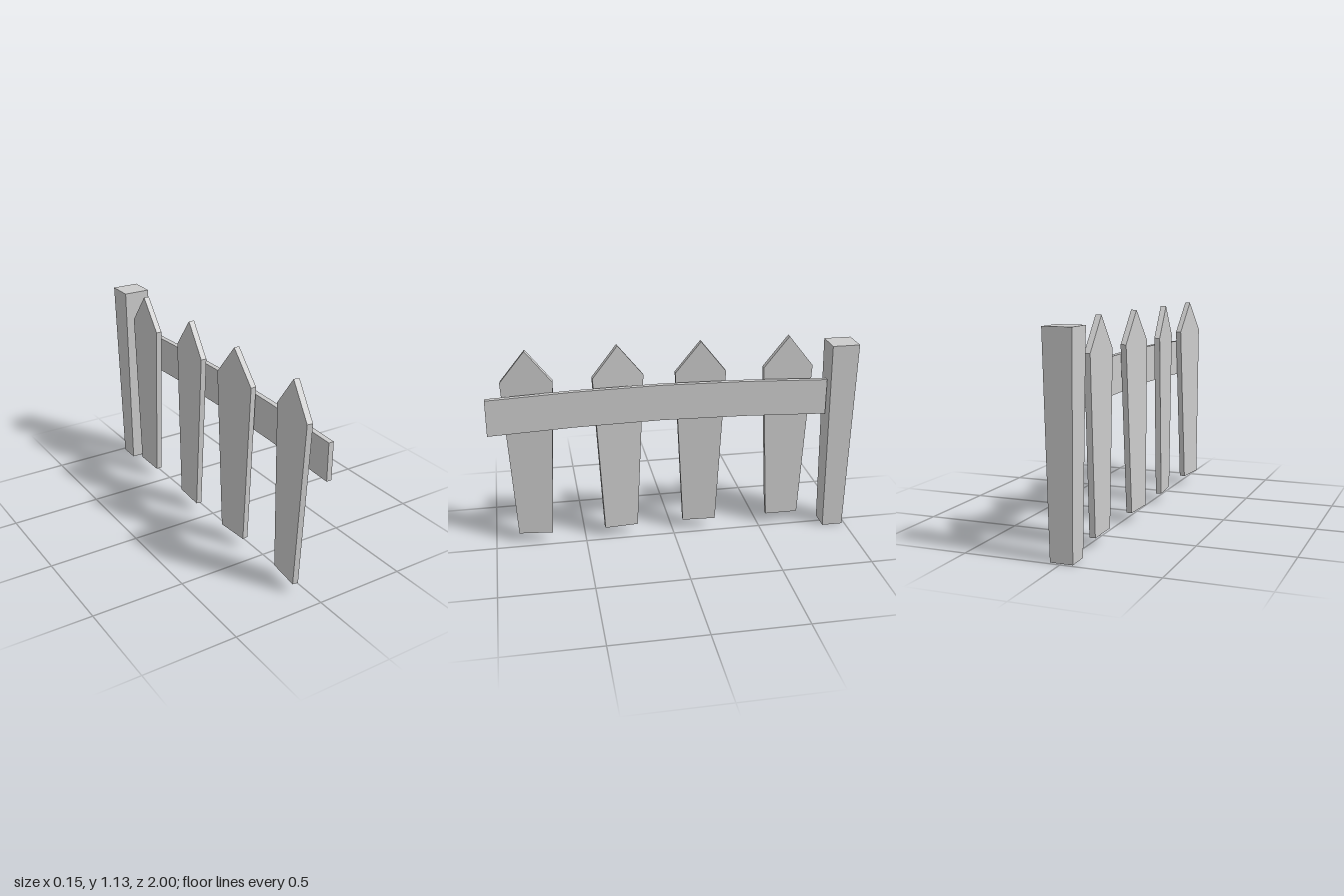
import * as THREE from 'three';

const grey = new THREE.MeshStandardMaterial({ color: 0xcccccc, flatShading: true });
const greyOpen = new THREE.MeshStandardMaterial({ color: 0xcccccc, flatShading: true, side: THREE.DoubleSide });

// Board from an outline of [-z, y] points, with its thickness along x
function board(name, points, thickness) {
  const shape = new THREE.Shape(points.map(([x, y]) => new THREE.Vector2(x, y)));
  const geometry = new THREE.ExtrudeGeometry(shape, { depth: thickness, bevelEnabled: false });
  geometry.translate(0, 0, -thickness / 2).rotateY(Math.PI / 2);
  const mesh = new THREE.Mesh(geometry, grey);
  mesh.name = name;
  return mesh;
}

// Square post, wider at the top, open underneath
function createPost() {
  const height = 1.093;
  const box = new THREE.BoxGeometry(0.15, height, 0.15);
  box.translate(0, height / 2, 0);
  const index = Array.from(box.index.array);
  index.splice(18, 6); // bottom face
  box.setIndex(index);
  box.clearGroups();
  const p = box.attributes.position;
  for (let i = 0; i < p.count; i++) {
    const s = THREE.MathUtils.lerp(0.775, 1, p.getY(i) / height);
    p.setX(i, p.getX(i) * s);
    p.setZ(i, p.getZ(i) * s);
  }
  box.computeVertexNormals();
  const mesh = new THREE.Mesh(box, greyOpen);
  mesh.name = 'post';
  mesh.position.z = -0.925;
  return mesh;
}

// Long rail, bowed slightly upward
function createRail() {
  const arch = [[-1, 0.885], [-0.54, 0.904], [-0.075, 0.912], [0.39, 0.904], [0.85, 0.885]];
  const lower = arch.map(([x, y]) => [x, y - 0.2]);
  const rail = board('rail', [...lower, ...arch.reverse()], 0.028);
  rail.position.x = 0.004;
  return rail;
}

export function createModel() {
  const model = new THREE.Group();
  model.name = 'fence';
  model.add(createPost(), createRail());

  // Pointed pickets, each set a little crooked
  const outline = [[-0.093, 0], [0.093, 0], [0.138, 0.898], [0, 1.07], [-0.138, 0.898]];
  const pickets = [
    { z: 0.777, x: -0.052, yaw: -0.11, lean: -0.013 },
    { z: 0.297, x: -0.048, yaw: 0.08, lean: 0 },
    { z: -0.152, x: -0.053, yaw: -0.05, lean: -0.012 },
    { z: -0.64, x: -0.048, yaw: 0, lean: 0 },
  ];
  pickets.forEach(({ z, x, yaw, lean }, i) => {
    const picket = board(`picket${i + 1}`, outline, 0.031);
    picket.position.set(x, 0.058, z);
    picket.rotation.set(0, yaw, lean);
    model.add(picket);
  });
  return model;
}
